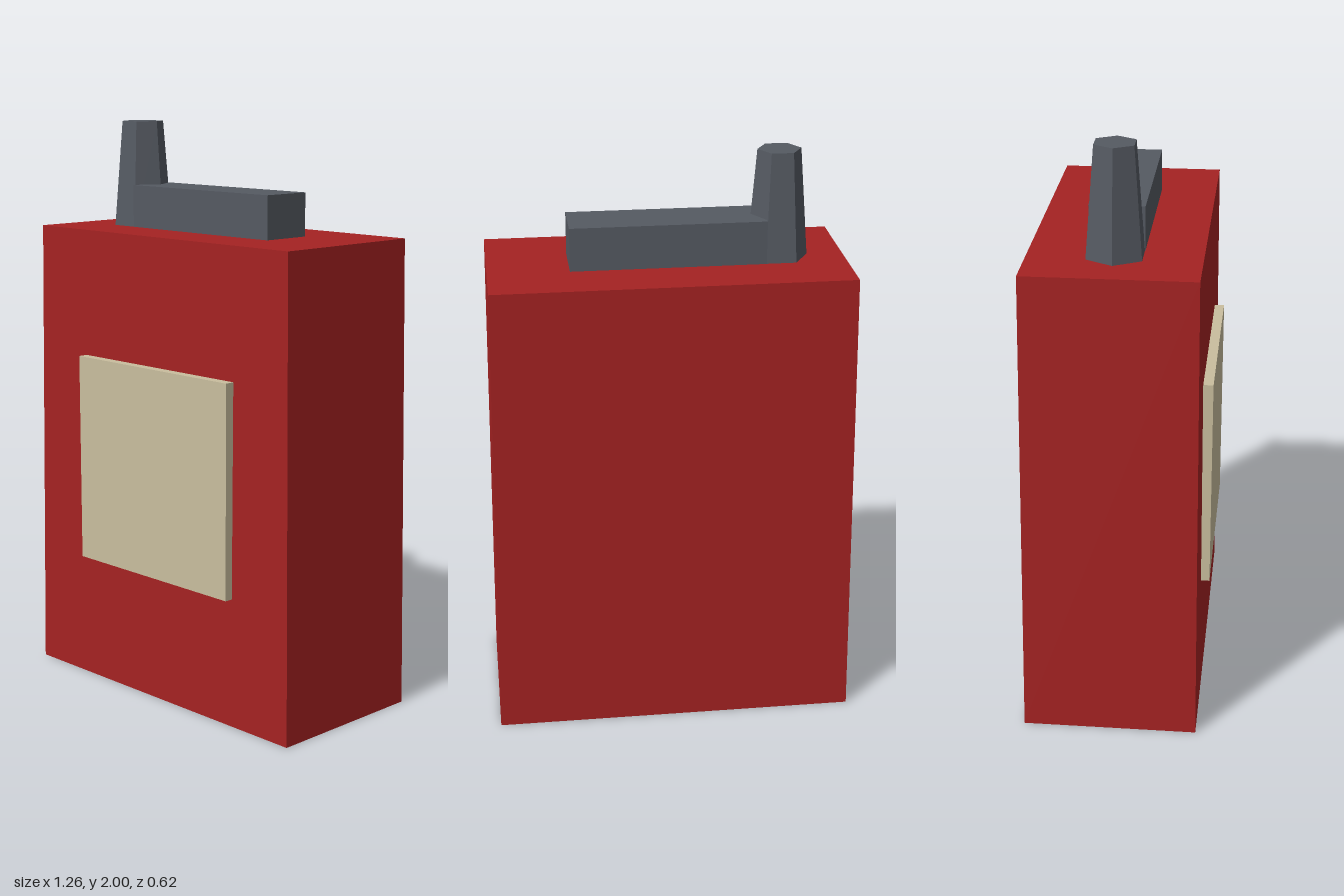
import * as THREE from 'three';

const CENTER_Z = -0.013;

function material(name, color) {
  const m = new THREE.MeshStandardMaterial({ color });
  m.name = name;
  return m;
}

// Box standing on y = 0 whose top is scaled inward
function taperedBox(width, height, depth, topScale) {
  const geometry = new THREE.BoxGeometry(width, height, depth).translate(0, height / 2, 0);
  const p = geometry.attributes.position;
  for (let i = 0; i < p.count; i++) {
    if (p.getY(i) > height / 2) {
      p.setX(i, p.getX(i) * topScale);
      p.setZ(i, p.getZ(i) * topScale);
    }
  }
  geometry.computeVertexNormals();
  return geometry;
}

export function createModel() {
  const group = new THREE.Group();
  const red = material('red', 0xa52222);
  const grey = material('dark grey', 0x555a62);
  const tan = material('tan', 0xc9be9e);
  grey.flatShading = true;

  function add(name, geometry, mat, x, y, z) {
    const mesh = new THREE.Mesh(geometry, mat);
    mesh.name = name;
    mesh.position.set(x, y, z);
    group.add(mesh);
  }

  // Slightly tapered can
  add('canBody', taperedBox(1.256, 1.63, 0.59, 0.963), red, 0, 0, CENTER_Z);

  // Label plate on the front
  add('frontLabel', new THREE.BoxGeometry(0.738, 0.737, 0.04), tan, 0, 0.817, 0.288);

  // Carrying handle on the top
  add('handle', new THREE.BoxGeometry(0.66, 0.148, 0.183), grey, 0, 1.704, CENTER_Z);

  // Six-sided spout, corners pointing along x
  const spout = new THREE.CylinderGeometry(0.074, 0.104, 0.37, 6, 1, false, Math.PI / 2);
  add('spout', spout, grey, -0.379, 1.815, CENTER_Z);

  return group;
}
